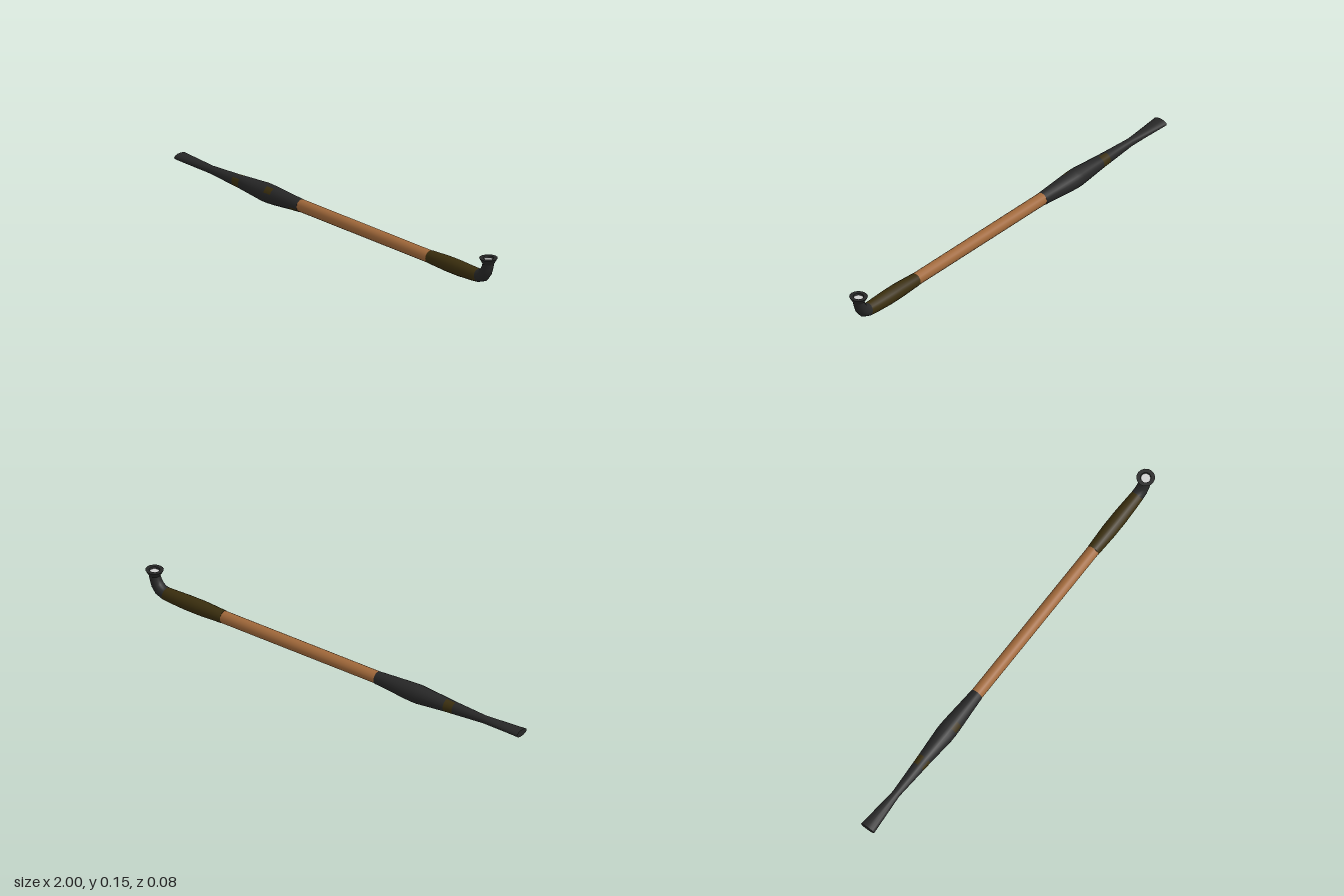
import * as THREE from 'three';

const SIDES = 16;

// Tube through elliptical sections [x, y, halfHeight, halfWidth, tilt in degrees].
// pick(i, j) gives the material index for the face at section i, side j.
function loft(name, sections, materials, pick = () => 0) {
  const pos = [], index = [], geo = new THREE.BufferGeometry();
  for (const [x, y, ry, rz, tilt = 0] of sections) {
    const a = THREE.MathUtils.degToRad(tilt);
    for (let j = 0; j < SIDES; j++) {
      const t = (j / SIDES) * Math.PI * 2, h = Math.sin(t) * ry;
      pos.push(x - Math.sin(a) * h, y + Math.cos(a) * h, Math.cos(t) * rz);
    }
  }
  for (let m = 0; m < materials.length; m++) {
    const start = index.length;
    for (let i = 0; i < sections.length - 1; i++) {
      for (let j = 0; j < SIDES; j++) {
        if (pick(i, j) !== m) continue;
        const a = i * SIDES + j, b = i * SIDES + (j + 1) % SIDES;
        const c = a + SIDES, d = b + SIDES;
        index.push(a, c, b, b, c, d);
      }
    }
    geo.addGroup(start, index.length - start, m);
  }
  geo.setAttribute('position', new THREE.Float32BufferAttribute(pos, 3));
  geo.setIndex(index);
  geo.computeVertexNormals();
  const mesh = new THREE.Mesh(geo, materials);
  mesh.name = name;
  return mesh;
}

export function createModel() {
  const mat = (name, color, side = THREE.FrontSide) => {
    const m = new THREE.MeshStandardMaterial({ color, side });
    m.name = name;
    return m;
  };
  const dark = mat('dark metal', 0x272727, THREE.DoubleSide);
  const olive = mat('aged brass', 0x3a2e0e);
  const wood = mat('wood', 0xa0683a);
  const pale = mat('pale ash', 0xd0d0d0);
  const group = new THREE.Group();
  group.name = 'pipe';

  // Flattened mouthpiece swelling into a grip, with worn brass patches
  const worn = (i, j) => {
    if (i === 4) return j === 2 || j === 3 ? 0 : 1;
    if (i === 7) return j === 1 || j === 2 ? 1 : 0;
    if (i === 9) return j >= 12 && j <= 14 ? 1 : 0;
    return 0;
  };
  group.add(loft('mouthpiece', [
    [-1, 0.054, 0, 0],
    [-1, 0.054, 0.015, 0.035],
    [-1, 0.054, 0.015, 0.035],
    [-0.8, 0.048, 0.018, 0.018],
    [-0.645, 0.046, 0.027, 0.028],
    [-0.6, 0.046, 0.03, 0.031],
    [-0.46, 0.044, 0.042, 0.042],
    [-0.43, 0.044, 0.042, 0.042],
    [-0.39, 0.044, 0.04, 0.04],
    [-0.28, 0.046, 0.032, 0.032],
    [-0.23, 0.046, 0.029, 0.029],
    [-0.23, 0.046, 0.029, 0.029],
    [-0.23, 0.046, 0, 0],
  ], [dark, olive], worn));

  // Straight wooden stem
  group.add(loft('stem', [
    [-0.24, 0.047, 0.028, 0.028],
    [0.6, 0.047, 0.028, 0.028],
  ], [wood]));

  // Brass ferrule
  group.add(loft('ferrule', [
    [0.59, 0.047, 0, 0],
    [0.59, 0.047, 0.029, 0.029],
    [0.59, 0.047, 0.029, 0.029],
    [0.7, 0.048, 0.034, 0.034],
    [0.78, 0.048, 0.034, 0.034],
    [0.86, 0.049, 0.031, 0.031, 2],
    [0.9, 0.051, 0.029, 0.029, 10],
  ], [olive]));

  // Elbow turning up to the bowl
  group.add(loft('elbow', [
    [0.9, 0.051, 0.029, 0.029, 10],
    [0.926, 0.06, 0.029, 0.028, 38],
    [0.944, 0.08, 0.027, 0.027, 63],
    [0.953, 0.1, 0.025, 0.026, 77],
    [0.96, 0.124, 0.025, 0.025, 90],
  ], [dark]));

  // Flared bowl: outer wall, rim and inner wall with sharp edges between
  const bowl = new THREE.Group();
  bowl.name = 'bowl';
  bowl.position.x = 0.96;
  const profile = [[0.025, 0.122], [0.04, 0.148], [0.023, 0.148], [0.02, 0.138]]
    .map(([r, y]) => new THREE.Vector2(r, y));
  ['bowlWall', 'bowlRim', 'bowlInside'].forEach((name, i) => {
    const wall = new THREE.Mesh(new THREE.LatheGeometry(profile.slice(i, i + 2), SIDES), dark);
    wall.name = name;
    bowl.add(wall);
  });
  const ash = new THREE.Mesh(new THREE.CircleGeometry(0.021, SIDES), pale);
  ash.name = 'ash';
  ash.rotation.x = -Math.PI / 2;
  ash.position.y = 0.14;
  bowl.add(ash);
  group.add(bowl);

  return group;
}
